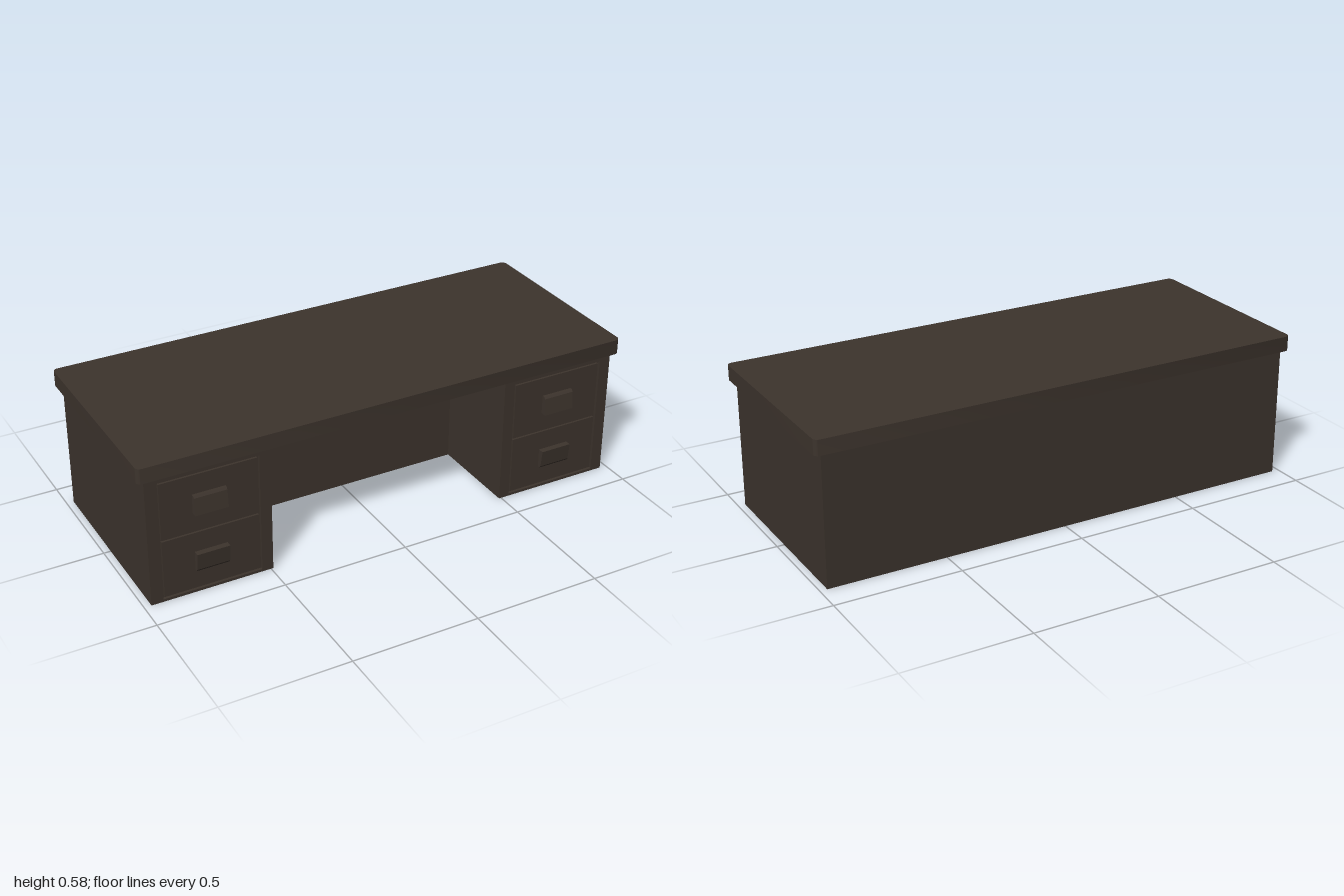
import * as THREE from 'three';
import { toCreasedNormals } from 'three/addons/utils/BufferGeometryUtils.js';

const wood = new THREE.MeshStandardMaterial({ color: 0x3d342d });
wood.name = 'darkWood';

function add(parent, name, geometry, x = 0, y = 0, z = 0) {
  const mesh = new THREE.Mesh(geometry, wood);
  mesh.name = name;
  mesh.position.set(x, y, z);
  parent.add(mesh);
  return mesh;
}

const polygon = (points) => new THREE.Shape(points.map(([x, y]) => new THREE.Vector2(x, y)));

const extrude = (shape, depth) =>
  new THREE.ExtrudeGeometry(shape, { depth, bevelEnabled: false, curveSegments: 6 });

// Rectangle with rounded corners, centred on the origin
function roundedRect(w, h, r) {
  const s = new THREE.Shape();
  const x = w / 2, y = h / 2;
  s.absarc(x - r, y - r, r, 0, Math.PI / 2);
  s.absarc(-x + r, y - r, r, Math.PI / 2, Math.PI);
  s.absarc(-x + r, -y + r, r, Math.PI, Math.PI * 1.5);
  s.absarc(x - r, -y + r, r, Math.PI * 1.5, Math.PI * 2);
  s.closePath();
  return s;
}

const FRONT = 0.385, BACK = -0.385, OUT = 0.972, IN = 0.491, HEIGHT = 0.521;
const RECESS = 0.012, KNEE = 0.008;

// Sloped pull, thick at its lip; flip = 1 puts the lip at the bottom, -1 at the top
function pullGeometry(flip) {
  const w = 0.128;
  const profile = polygon([
    [-0.005, -0.038], [0.022, -0.038], [0.0145, 0.03], [0.009, 0.038], [-0.005, 0.038],
  ].map(([z, y]) => [z, y * flip]));
  return extrude(profile, w).rotateY(-Math.PI / 2).translate(w / 2, 0, 0);
}

// Front of one pedestal: frame, two inset drawers and their pulls
function pedestalFront(side) {
  const group = new THREE.Group();
  group.name = side > 0 ? 'leftPedestalFront' : 'rightPedestalFront';
  const x0 = 0.535, x1 = 0.926, y0 = 0.01, y1 = 0.493, cx = (x0 + x1) / 2;

  const frame = polygon([[IN, 0], [OUT, 0], [OUT, HEIGHT], [IN, HEIGHT]]
    .map(([x, y]) => [x * side, y]));
  frame.holes.push(polygon([[x0, y0], [x0, y1], [x1, y1], [x1, y0]]
    .map(([x, y]) => [x * side, y])));
  add(group, 'drawerFrame', extrude(frame, RECESS), 0, 0, FRONT - RECESS);

  const gap = 0.007, split = 0.252;
  [[y0 + gap, split - 0.003, 0.1325, -1], [split + 0.003, y1 - gap, 0.3715, 1]]
    .forEach(([bottom, top, pullY, flip], i) => {
      const name = i ? 'upper' : 'lower';
      add(group, name + 'Drawer',
        new THREE.BoxGeometry(x1 - x0 - gap * 2, top - bottom, RECESS - 0.002),
        cx * side, (top + bottom) / 2, FRONT - 0.002 - (RECESS - 0.002) / 2);
      add(group, name + 'Pull', pullGeometry(flip), 0.732 * side, pullY, FRONT);
    });
  return group;
}

export function createModel() {
  const desk = new THREE.Group();
  desk.name = 'desk';

  // Solid U-shaped body with a knee space at the front
  const f = FRONT - RECESS;
  const plan = polygon([
    [-OUT, -f], [-IN, -f], [-IN, -KNEE], [IN, -KNEE],
    [IN, -f], [OUT, -f], [OUT, -BACK], [-OUT, -BACK],
  ]);
  add(desk, 'body', extrude(plan, HEIGHT).rotateX(-Math.PI / 2));

  for (const side of [-1, 1]) desk.add(pedestalFront(side));

  // Overhanging top with softly rounded corners
  const top = extrude(roundedRect(2, 0.81, 0.02), 0.06).rotateX(-Math.PI / 2);
  add(desk, 'deskTop', toCreasedNormals(top, 0.6), 0, 0.52, 0);

  return desk;
}
